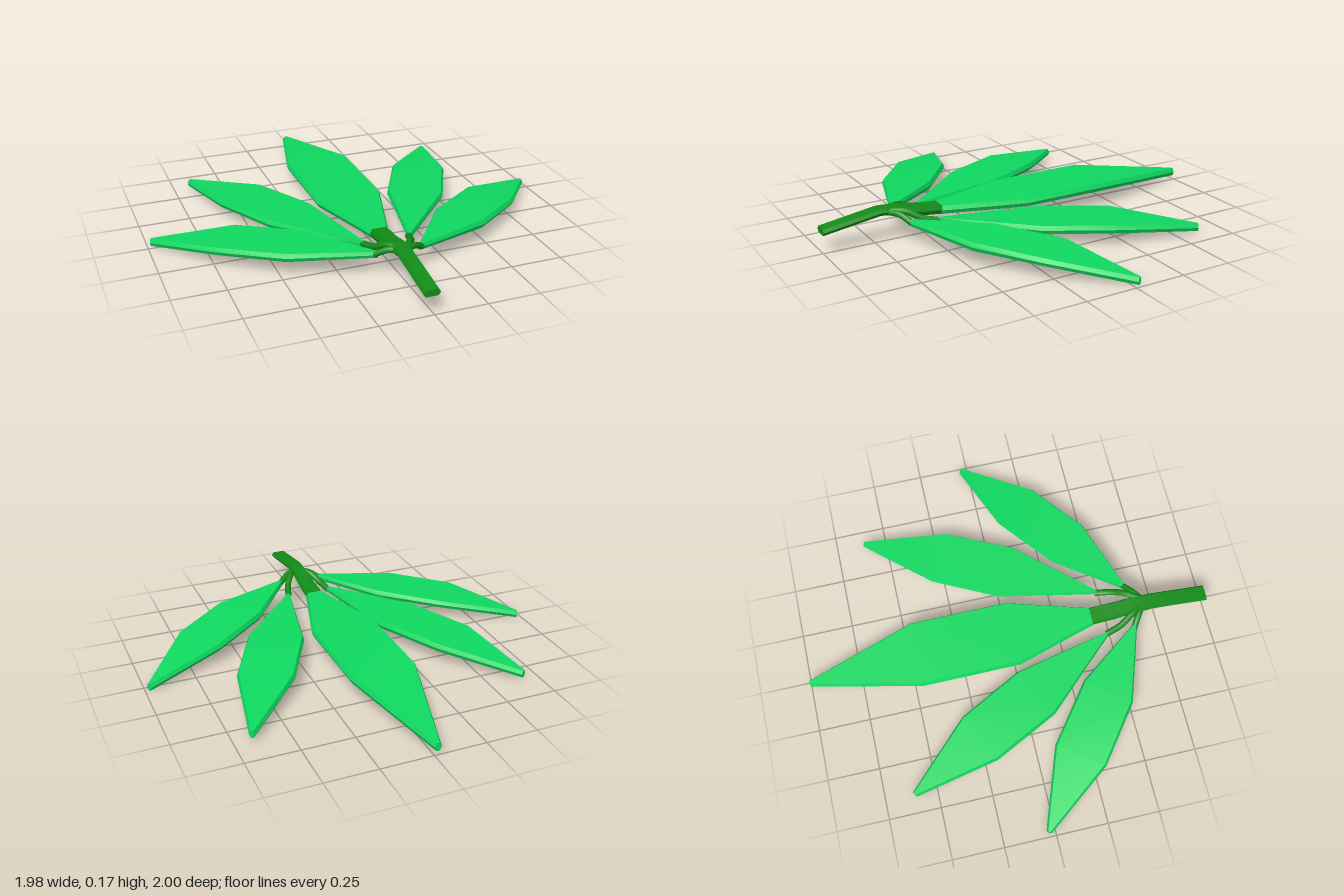
import * as THREE from 'three';
import { toCreasedNormals } from 'three/addons/utils/BufferGeometryUtils.js';

const leafMat = new THREE.MeshStandardMaterial({ color: 0x0fd860 });
const stemMat = new THREE.MeshStandardMaterial({ color: 0x128c18 });

// Flat blade lofted through rows [leftX, leftZ, rightX, rightZ, midY, thickness], with bevelled rims
function blade(rows, mat, name) {
  const pos = [], idx = [], n = 6;
  for (const [lx, lz, rx, rz, y, t] of rows) {
    const inset = Math.min(0.3, 0.01 / Math.hypot(rx - lx, rz - lz));
    const ring = [[0, 0], [inset, 1], [1 - inset, 1], [1, 0], [1 - inset, -1], [inset, -1]];
    for (const [u, v] of ring) pos.push(lx + (rx - lx) * u, y + v * t / 2, lz + (rz - lz) * u);
  }
  for (let k = 0; k < rows.length - 1; k++) {
    for (let i = 0; i < n; i++) {
      const a = k * n + i, b = k * n + (i + 1) % n;
      idx.push(a, b, b + n, a, b + n, a + n);
    }
  }
  const end = (rows.length - 1) * n;
  for (let i = 1; i < n - 1; i++) idx.push(0, i + 1, i, end, end + i, end + i + 1);
  const geo = new THREE.BufferGeometry();
  geo.setAttribute('position', new THREE.Float32BufferAttribute(pos, 3));
  geo.setIndex(idx);
  const mesh = new THREE.Mesh(toCreasedNormals(geo, 0.6), mat);
  mesh.name = name;
  return mesh;
}

// Thin curved stalk joining a side leaf to the stem
function stalk(points, radius, name) {
  const curve = new THREE.CatmullRomCurve3(points.map(p => new THREE.Vector3(...p)));
  const mesh = new THREE.Mesh(new THREE.TubeGeometry(curve, 8, radius, 8), stemMat);
  mesh.name = name;
  return mesh;
}

const mirrorRows = rows => rows.map(([lx, lz, rx, rz, y, t]) => [-rx, rz, -lx, lz, y, t]);
const mirrorPoints = points => points.map(([x, y, z]) => [-x, y, z]);

export function createModel() {
  const group = new THREE.Group();

  // Bent, flattened main stem
  group.add(blade([
    [-0.055, 1.0, 0.025, 1.0, 0.11, 0.03],
    [-0.052, 0.72, 0.027, 0.72, 0.153, 0.032],
    [-0.052, 0.62, 0.03, 0.62, 0.145, 0.036],
    [-0.055, 0.52, 0.033, 0.52, 0.122, 0.04],
    [-0.055, 0.415, 0.035, 0.415, 0.112, 0.044],
  ], stemMat, 'stem'));

  // Central leaf
  group.add(blade([
    [-0.055, 0.42, 0.035, 0.42, 0.11, 0.04],
    [-0.175, 0.02, 0.155, 0.02, 0.11, 0.04],
    [-0.175, -0.46, 0.155, -0.46, 0.11, 0.04],
    [-0.033, -1.0, 0.0, -1.0, 0.043, 0.04],
  ], leafMat, 'centralLeaf'));

  // Side leaves, given on the +x side
  const upper = [
    [0.102, 0.485, 0.122, 0.478, 0.1, 0.03],
    [0.203, 0.0, 0.45, 0.125, 0.092, 0.04],
    [0.362, -0.31, 0.605, -0.19, 0.085, 0.04],
    [0.655, -0.615, 0.68, -0.6, 0.037, 0.036],
  ];
  const lower = [
    [0.098, 0.61, 0.102, 0.628, 0.115, 0.03],
    [0.323, 0.3, 0.485, 0.5, 0.105, 0.04],
    [0.6, 0.088, 0.75, 0.3, 0.088, 0.036],
    [0.972, -0.043, 0.988, -0.02, 0.022, 0.036],
  ];
  const upperStalk = [[0.015, 0.15, 0.67], [0.055, 0.15, 0.61], [0.09, 0.118, 0.55], [0.112, 0.098, 0.47]];
  const lowerStalk = [[0.01, 0.145, 0.68], [0.06, 0.143, 0.645], [0.115, 0.113, 0.61]];

  group.add(blade(upper, leafMat, 'upperLeafLeft'), blade(mirrorRows(upper), leafMat, 'upperLeafRight'));
  group.add(blade(lower, leafMat, 'lowerLeafLeft'), blade(mirrorRows(lower), leafMat, 'lowerLeafRight'));
  group.add(stalk(upperStalk, 0.016, 'upperStalkLeft'), stalk(mirrorPoints(upperStalk), 0.016, 'upperStalkRight'));
  group.add(stalk(lowerStalk, 0.015, 'lowerStalkLeft'), stalk(mirrorPoints(lowerStalk), 0.015, 'lowerStalkRight'));

  return group;
}
